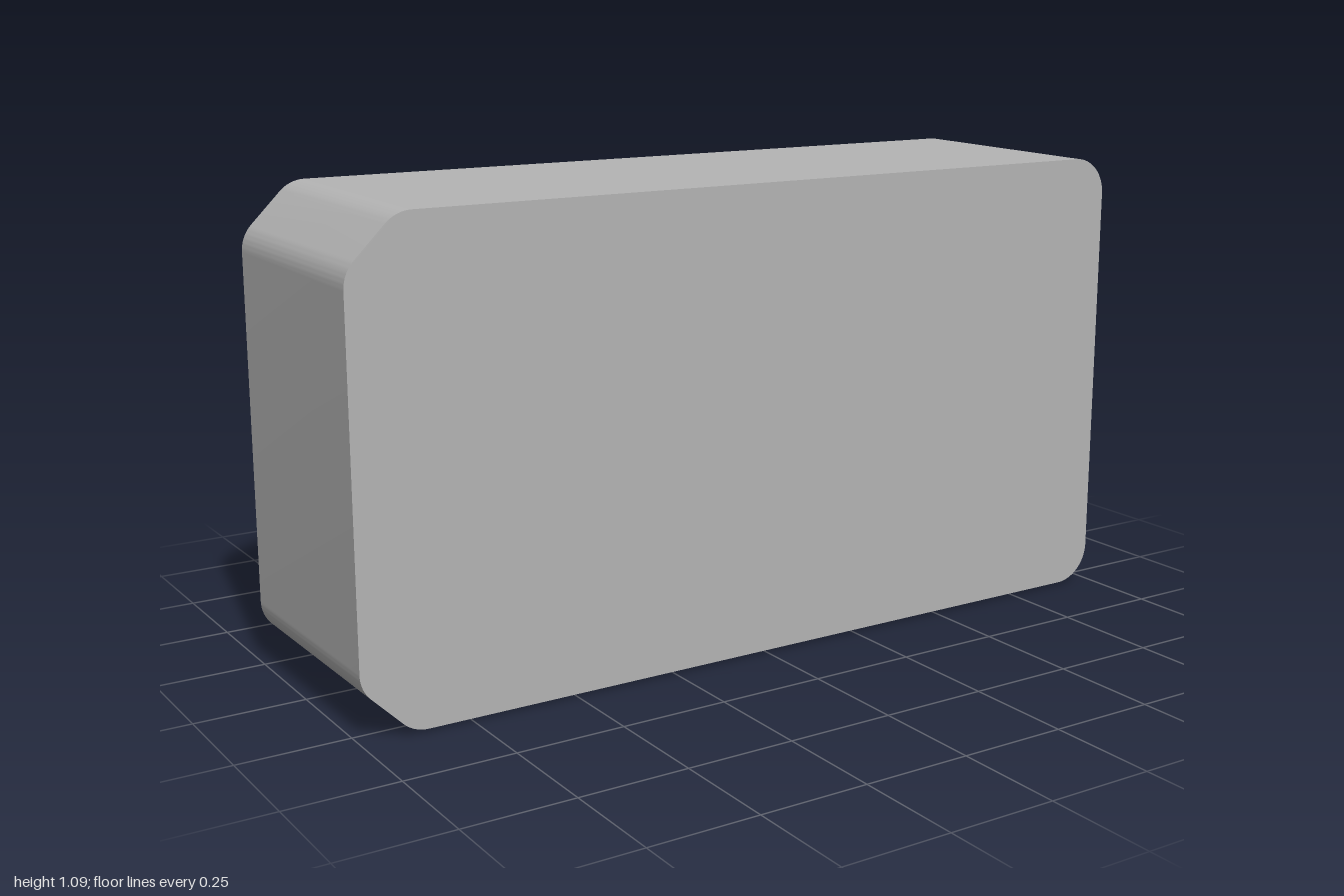
import * as THREE from 'three';
import { toCreasedNormals } from 'three/addons/utils/BufferGeometryUtils.js';

const FRONT = 0.305, LEDGE = -0.255, BACK = -0.305, TOP = 1.09;

// Case outline: round corners on +x, chamfered corners on -x
function outline(d) {
  const L = -1 + d, R = 1 - d, B = d, T = TOP - d;
  const r = 0.09 - d * 0.5, c = 0.115 - d * 0.4, k = 0.035, m = k * 0.7;
  const s = new THREE.Shape();
  s.moveTo(L + c + k, B);
  s.absarc(R - r, B + r, r, -Math.PI / 2, 0);
  s.absarc(R - r, T - r, r, 0, Math.PI / 2);
  s.lineTo(L + c + k, T);
  s.quadraticCurveTo(L + c, T, L + c - m, T - m);
  s.lineTo(L + m, T - c + m);
  s.quadraticCurveTo(L, T - c, L, T - c - k);
  s.lineTo(L, B + c + k);
  s.quadraticCurveTo(L, B + c, L + m, B + c - m);
  s.lineTo(L + c - m, B + m);
  s.quadraticCurveTo(L + c, B, L + c + k, B);
  return s;
}

// Main recess, running around the corner bosses and the round bay
function mainRecess() {
  const p = new THREE.Path();
  p.moveTo(-0.812, 0.08);
  p.lineTo(0.68, 0.08);
  p.absarc(0.65, 0.555, 0.305, -1.47, 0.408);
  p.lineTo(0.93, 0.89);
  p.lineTo(0.81, 0.89);
  p.lineTo(0.68, 0.94);
  p.lineTo(0.68, 1.01);
  p.absarc(-0.86, 0.94, 0.085, 0.97, -2.73, true);
  p.absarc(-0.86, 0.15, 0.085, 2.73, -0.97, true);
  return p;
}

// Lower corner pocket with a quarter-round boss
function cornerPocket() {
  const p = new THREE.Path();
  p.moveTo(0.717, 0.08);
  p.lineTo(0.782, 0.08);
  p.absarc(0.88, 0.1, 0.1, Math.PI, Math.PI / 3, true);
  p.absarc(0.65, 0.555, 0.365, -0.69, -1.386, true);
  return p;
}

// Small triangular pocket in the upper corner block
function trianglePocket() {
  const p = new THREE.Path();
  p.moveTo(0.82, 1.0);
  p.lineTo(0.71, 1.0);
  p.lineTo(0.81, 0.935);
  p.closePath();
  return p;
}

function extrude(shape, z0, z1) {
  const g = new THREE.ExtrudeGeometry(shape, { depth: z1 - z0, bevelEnabled: false, curveSegments: 12 });
  return g.translate(0, 0, z0);
}

export function createModel() {
  const group = new THREE.Group();
  const grey = new THREE.MeshStandardMaterial({ color: 0xb4b4b4 });
  grey.name = 'grey plastic';
  const add = (name, geometry) => {
    const mesh = new THREE.Mesh(geometry, grey);
    mesh.name = name;
    group.add(mesh);
    return mesh;
  };

  // Body, drawn in slightly towards the front
  const body = extrude(outline(0), LEDGE, FRONT);
  const pos = body.attributes.position;
  for (let i = 0; i < pos.count; i++) {
    if (pos.getZ(i) < 0) continue;
    pos.setX(i, (pos.getX(i) + 1) * 0.996 - 1);
    pos.setY(i, (pos.getY(i) - TOP / 2) * 0.988 + TOP / 2);
  }
  add('caseBody', toCreasedNormals(body, 0.4));

  // Raised lip on the back with its recesses
  const lip = outline(0.034);
  lip.holes.push(mainRecess(), cornerPocket(), trianglePocket());
  add('backLip', toCreasedNormals(extrude(lip, BACK, LEDGE), 0.4));

  // Locating ribs on the lower and upper edges
  for (const [name, y0, y1] of [['lowerRib', 0.075, 0.245], ['upperRib', 0.935, 1.015]]) {
    add(name, new THREE.BoxGeometry(0.04, y1 - y0, LEDGE - BACK))
      .position.set(0.445, (y0 + y1) / 2, (LEDGE + BACK) / 2);
  }

  // Small round peg on the recess floor
  const peg = add('peg', new THREE.CylinderGeometry(0.024, 0.024, 0.02, 20));
  peg.rotation.x = -Math.PI / 2;
  peg.position.set(0.26, 0.245, LEDGE - 0.01);

  return group;
}
